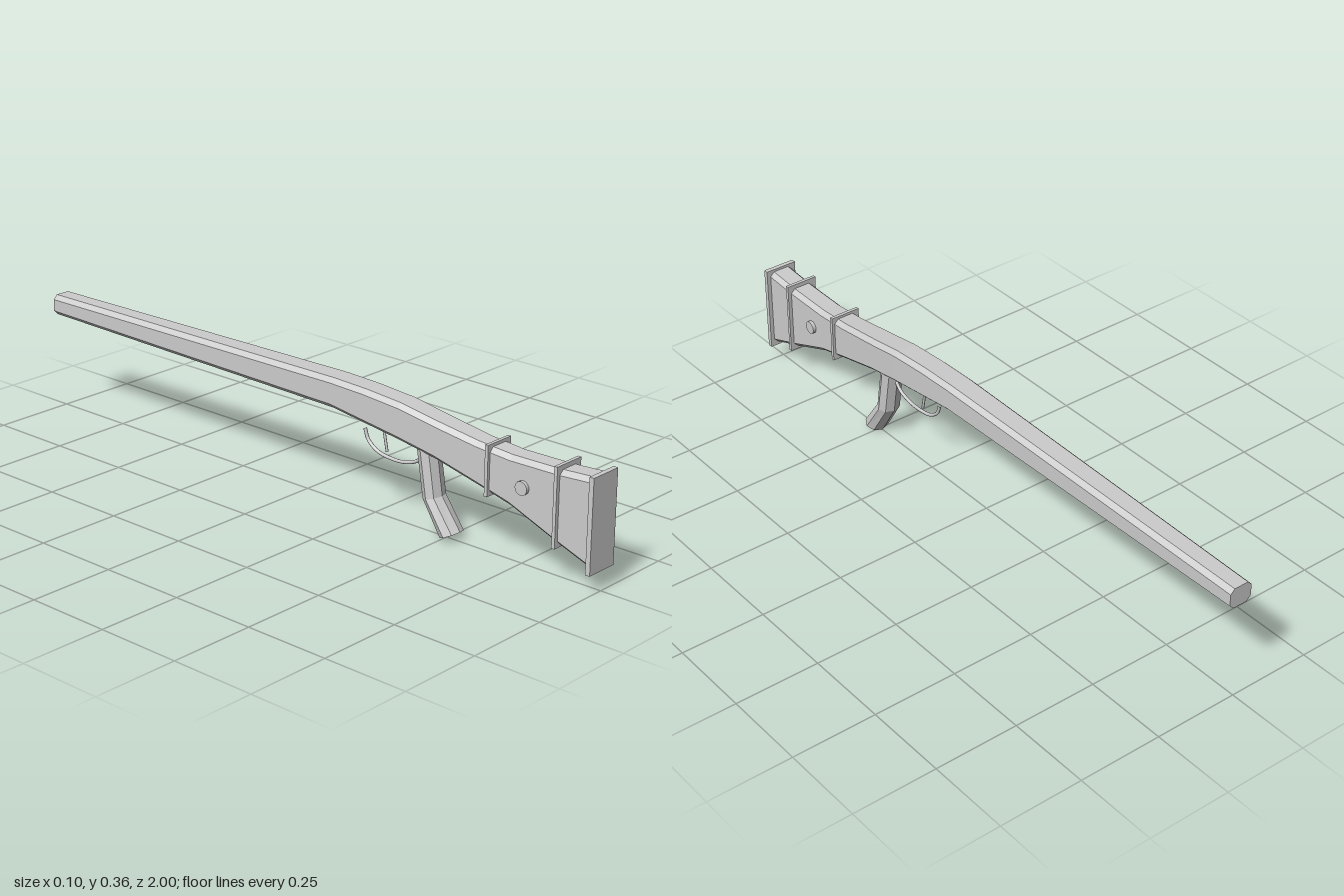
import * as THREE from 'three';

const grey = new THREE.MeshStandardMaterial({ color: 0xcccccc });
grey.name = 'plainGrey';

// Skin a list of equal-sized rings into a closed, faceted solid.
function loft(rings) {
  const n = rings[0].length, last = (rings.length - 1) * n, index = [];
  for (let i = 0; i < rings.length - 1; i++) {
    for (let j = 0; j < n; j++) {
      const a = i * n + j, b = i * n + (j + 1) % n;
      index.push(a, a + n, b, b, a + n, b + n);
    }
  }
  for (let j = 1; j < n - 1; j++) {
    index.push(0, j, j + 1, last, last + j + 1, last + j);
  }
  const geo = new THREE.BufferGeometry();
  geo.setAttribute('position', new THREE.Float32BufferAttribute(rings.flat(2), 3));
  geo.setIndex(index);
  const flat = geo.toNonIndexed();
  flat.computeVertexNormals();
  return flat;
}

export function createModel() {
  const model = new THREE.Group();
  const add = (name, geo, x = 0, y = 0, z = 0) => {
    const mesh = new THREE.Mesh(geo, grey);
    mesh.name = name;
    mesh.position.set(x, y, z);
    model.add(mesh);
    return mesh;
  };

  // Long body with chamfered corners: z, bottom, top, half width
  const sections = [
    [0.995, 0.064, 0.313, 0.038],
    [0.88, 0.106, 0.306, 0.038],
    [0.73, 0.165, 0.304, 0.038],
    [0.62, 0.193, 0.313, 0.039],
    [0.48, 0.227, 0.333, 0.041],
    [0.36, 0.247, 0.352, 0.042],
    [0.24, 0.263, 0.361, 0.042],
    [0.12, 0.279, 0.365, 0.042],
    [-1, 0.295, 0.356, 0.035],
  ];
  add('body', loft(sections.map(([z, lo, hi, w]) => {
    const c = 0.013;
    return [
      [w - c, lo, z], [w, lo + c, z], [w, hi - c, z], [w - c, hi, z],
      [c - w, hi, z], [-w, hi - c, z], [-w, lo + c, z], [c - w, lo, z],
    ];
  })));

  // Bent eight-sided grip: centre y, centre z, half depth, tilt
  const gripSections = [
    [0.26, 0.43, 0.028, 0],
    [0.107, 0.455, 0.027, 0.006],
    [0.015, 0.517, 0.028, 0.013],
  ];
  add('grip', loft(gripSections.map(([y, z, depth, tilt]) =>
    Array.from({ length: 8 }, (_, i) => {
      const a = i * Math.PI / 4, s = -Math.sin(a);
      return [0.036 * Math.cos(a), y + s * tilt, z + s * depth];
    }))));

  // End plate and the two bands around the rear
  add('endPlate', new THREE.BoxGeometry(0.1, 0.263, 0.014), 0, 0.1885, 0.993);
  add('rearBand', new THREE.BoxGeometry(0.098, 0.222, 0.01), 0, 0.208, 0.883);
  add('frontBand', new THREE.BoxGeometry(0.094, 0.142, 0.01), 0, 0.247, 0.662);

  // Round studs on both sides
  for (const side of [1, -1]) {
    const stud = add(side > 0 ? 'leftStud' : 'rightStud',
      new THREE.CylinderGeometry(0.019, 0.019, 0.016, 20), side * 0.04, 0.23, 0.775);
    stud.rotation.z = Math.PI / 2;
  }

  // Curved guard and small lever
  const guardPath = new THREE.CatmullRomCurve3([
    [0.425, 0.225], [0.395, 0.19], [0.35, 0.174], [0.305, 0.172],
    [0.255, 0.181], [0.222, 0.205], [0.21, 0.236],
  ].map(([z, y]) => new THREE.Vector3(0, y, z)));
  add('guard', new THREE.TubeGeometry(guardPath, 28, 0.005, 8));
  const lever = add('lever', new THREE.CylinderGeometry(0.004, 0.004, 0.07, 8), 0, 0.222, 0.282);
  lever.rotation.x = -0.2;

  return model;
}
